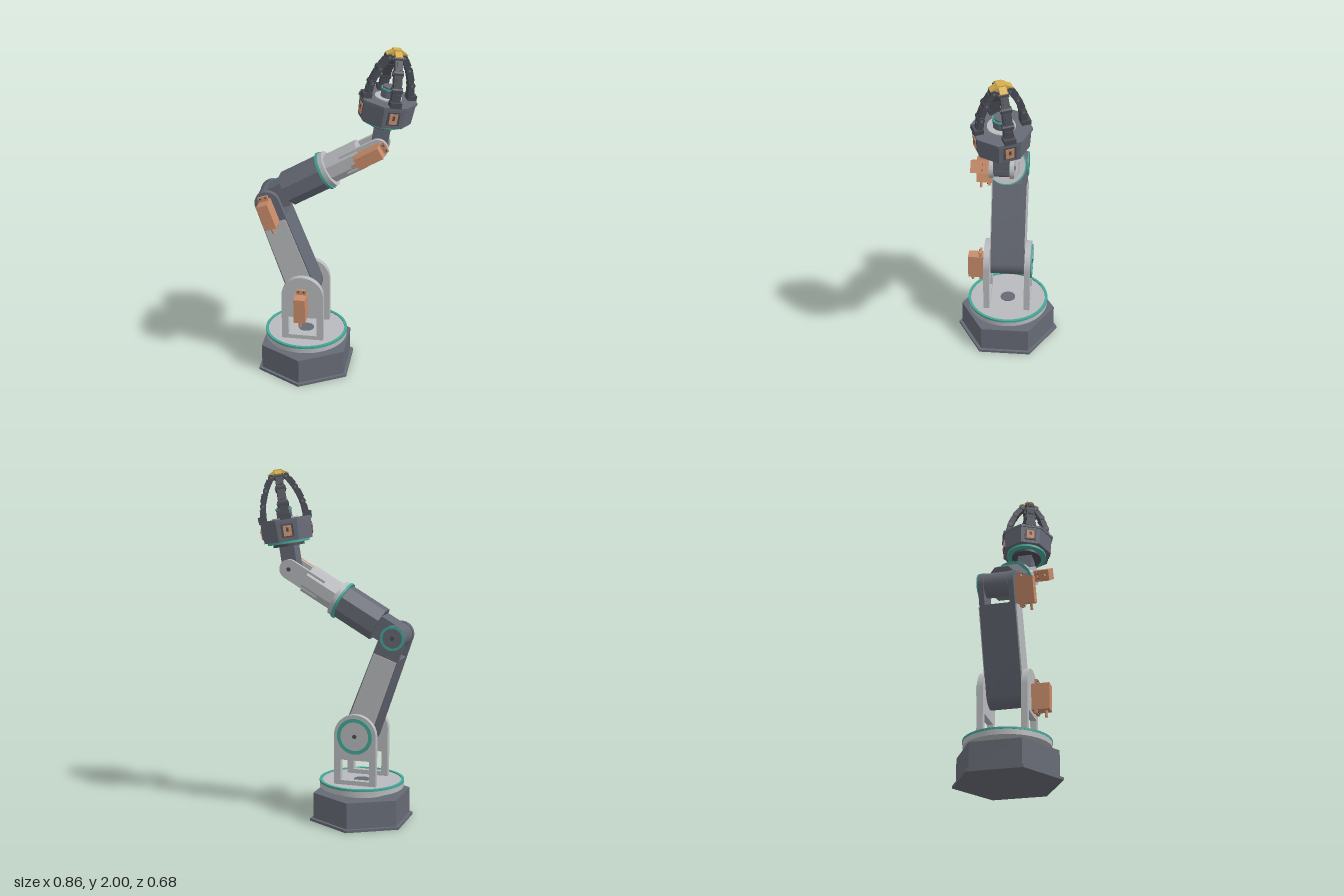
import * as THREE from 'three';
import { toCreasedNormals } from 'three/addons/utils/BufferGeometryUtils.js';

const mat = (name, color) => {
  const m = new THREE.MeshStandardMaterial({ color });
  m.name = name;
  return m;
};

export function createModel() {
  const slate = mat('slate', 0x666a75);
  const charcoal = mat('charcoal', 0x494c54);
  const light = mat('light grey', 0xb8babd);
  const teal = mat('teal', 0x45a898);
  const copper = mat('copper', 0xc98c6a);
  const gold = mat('gold', 0xd3ab4e);

  // ---- helpers ----
  const group = (parent, name, x = 0, y = 0, z = 0) => {
    const g = new THREE.Group();
    g.name = name;
    g.position.set(x, y, z);
    parent.add(g);
    return g;
  };
  const add = (parent, name, geo, m, x = 0, y = 0, z = 0) => {
    const mesh = new THREE.Mesh(toCreasedNormals(geo, 0.6), m);
    mesh.name = name;
    mesh.position.set(x, y, z);
    parent.add(mesh);
    return mesh;
  };
  const box = (p, name, m, w, h, d, x, y, z) => add(p, name, new THREE.BoxGeometry(w, h, d), m, x, y, z);
  // Cylinder standing on y0, up to y1
  const post = (p, name, m, r, y0, y1, sides = 40, turn = 0, rTop = r) =>
    add(p, name, new THREE.CylinderGeometry(rTop, r, y1 - y0, sides).rotateY(turn), m, 0, (y0 + y1) / 2, 0);
  // Cylinder along x from x0 to x1
  const rod = (p, name, m, r, x0, x1, sides = 40, turn = 0) =>
    add(p, name, new THREE.CylinderGeometry(r, r, x1 - x0, sides).rotateY(turn).rotateZ(-Math.PI / 2), m, (x0 + x1) / 2, 0, 0);
  // Cylinder along z from z0 to z1
  const pin = (p, name, m, r, z0, z1, x = 0, y = 0) =>
    add(p, name, new THREE.CylinderGeometry(r, r, z1 - z0, 32).rotateX(Math.PI / 2), m, x, y, (z0 + z1) / 2);
  const slab = (p, name, m, shape, z0, z1) =>
    add(p, name, new THREE.ExtrudeGeometry(shape, { depth: z1 - z0, bevelEnabled: false, curveSegments: 20 }), m, 0, 0, z0);
  // Flat ring with thickness, facing +z
  const ringShape = (ro, ri) => {
    const s = new THREE.Shape().absarc(0, 0, ro, 0, Math.PI * 2);
    s.holes.push(new THREE.Path().absarc(0, 0, ri, 0, Math.PI * 2, true));
    return s;
  };
  // Servo with its shaft at the origin, body hanging down, sticking out along +z
  const servo = (p, name, x, y, z, turn = 0) => {
    const g = group(p, name, x, y, z);
    g.rotation.z = turn;
    box(g, 'servoBody', copper, 0.067, 0.15, 0.1, 0, -0.045, 0.05);
    box(g, 'servoFlange', copper, 0.058, 0.196, 0.016, 0, -0.04, 0.025);
    for (const yy of [-0.129, 0.049])
      for (const xx of [-0.016, 0.016]) pin(g, 'flangeScrew', charcoal, 0.005, 0.033, 0.037, xx, yy);
    add(g, 'cableStub', new THREE.CylinderGeometry(0.008, 0.008, 0.04, 12), copper, 0, -0.137, 0.075);
  };

  const model = new THREE.Group();
  model.name = 'robotArm';

  // ---- base ----
  const base = group(model, 'base', -0.125, 0, 0.04);
  post(base, 'baseFlange', slate, 0.305, 0, 0.015, 6, Math.PI / 6);
  post(base, 'baseBody', slate, 0.285, 0.015, 0.165, 6, Math.PI / 6);
  post(base, 'neck', light, 0.165, 0.165, 0.195);
  post(base, 'turntable', light, 0.242, 0.195, 0.23, 64);
  add(base, 'turntableRing', new THREE.ExtrudeGeometry(ringShape(0.244, 0.228), { depth: 0.012, bevelEnabled: false, curveSegments: 32 })
    .rotateX(-Math.PI / 2), teal, 0, 0.224, 0);

  // ---- swivelling shoulder ----
  const shoulder = group(base, 'shoulder');
  shoulder.rotation.y = Math.PI / 6;
  post(shoulder, 'cableHole', slate, 0.045, 0.23, 0.233);
  const pivotY = 0.515;
  const bracket = new THREE.Shape().moveTo(-0.123, 0.23).lineTo(0.123, 0.23).lineTo(0.123, pivotY)
    .absarc(0, pivotY, 0.123, 0, Math.PI).lineTo(-0.123, 0.23);
  bracket.holes.push(new THREE.Path().moveTo(-0.085, 0.255).lineTo(-0.085, 0.375).lineTo(0.085, 0.375).lineTo(0.085, 0.255));
  for (const s of [-1, 1]) slab(shoulder, 'shoulderBracket', light, bracket, s * 0.1225 - 0.0175, s * 0.1225 + 0.0175);
  servo(shoulder, 'shoulderServo', 0, pivotY, 0.14);

  // ---- lower arm, y runs along it ----
  const lower = group(shoulder, 'lowerArm', 0, pivotY, 0);
  lower.rotation.z = THREE.MathUtils.degToRad(20);
  const L1 = 0.6;
  const link = new THREE.Shape().moveTo(0.072, L1).absarc(0, L1, 0.072, 0, Math.PI)
    .lineTo(-0.085, 0).absarc(0, 0, 0.085, Math.PI, Math.PI * 2).lineTo(0.072, L1);
  const core = new THREE.Shape().moveTo(0.074, 0.49).lineTo(-0.074, 0.49)
    .lineTo(-0.085, 0).absarc(0, 0, 0.085, Math.PI, Math.PI * 2).lineTo(0.074, 0.49);
  const cover = new THREE.Shape().moveTo(0.07, 0.48).lineTo(-0.07, 0.48).lineTo(-0.075, 0.09).lineTo(0.075, 0.09);
  slab(lower, 'linkCore', slate, core, -0.07, 0.07);
  for (const s of [-1, 1]) {
    slab(lower, 'linkSide', slate, link, s * 0.085 - 0.015, s * 0.085 + 0.015);
    slab(lower, 'linkCover', light, cover, s * 0.102 - 0.004, s * 0.102 + 0.004);
  }
  servo(lower, 'elbowServo', 0, L1, 0.1);
  // Bearing caps on the back of both joints
  const cap = (p, z, r, y, m) => {
    const g = group(p, 'bearingCap', 0, y, z);
    slab(g, 'capRing', teal, ringShape(r, r * 0.8), -0.008, 0.002);
    pin(g, 'capDisc', m, r * 0.8, -0.005, 0.002);
    pin(g, 'capBolt', charcoal, 0.012, -0.009, 0);
  };
  cap(shoulder, -0.14, 0.103, pivotY, light);
  cap(lower, -0.1, 0.07, L1, slate);

  // ---- upper arm, x runs along it ----
  const a1 = THREE.MathUtils.degToRad(20);
  const upper = group(shoulder, 'upperArm', -L1 * Math.sin(a1), pivotY + L1 * Math.cos(a1), 0);
  upper.rotation.z = Math.PI / 6;
  const L2 = 0.72;
  pin(upper, 'elbowKnuckle', slate, 0.069, -0.068, 0.068);
  box(upper, 'elbowNeck', slate, 0.14, 0.13, 0.134, 0.07, 0, 0);
  rod(upper, 'upperTube', slate, 0.102, 0.12, 0.365, 8, Math.PI / 8);
  rod(upper, 'rollRing', teal, 0.112, 0.365, 0.379, 48);
  rod(upper, 'rollCollar', light, 0.105, 0.379, 0.405, 48);
  rod(upper, 'forearm', light, 0.084, 0.405, 0.61, 8, Math.PI / 8);
  const fork = new THREE.Shape().moveTo(0.5, -0.056).lineTo(L2, -0.056)
    .absarc(L2, 0, 0.056, -Math.PI / 2, Math.PI / 2).lineTo(0.5, 0.056);
  for (const s of [-1, 1]) slab(upper, 'wristFork', light, fork, s * 0.055 - 0.012, s * 0.055 + 0.012);
  pin(upper, 'wristBolt', charcoal, 0.012, -0.07, -0.06, L2, 0);
  servo(upper, 'wristServo', L2, 0, 0.067, -Math.PI / 2);

  // ---- wrist and gripper, y runs along it ----
  const wrist = group(upper, 'wrist', L2, 0, 0);
  wrist.rotation.z = THREE.MathUtils.degToRad(-9 - 30);
  pin(wrist, 'wristKnuckle', slate, 0.048, -0.043, 0.043);
  box(wrist, 'wristPost', slate, 0.09, 0.14, 0.086, 0, 0.07, 0);
  post(wrist, 'wristDisc', charcoal, 0.09, 0.13, 0.146);
  post(wrist, 'gripperRing', teal, 0.12, 0.146, 0.16, 48);
  post(wrist, 'palm', slate, 0.148, 0.16, 0.27, 8, 0, 0.156);
  post(wrist, 'palmRim', slate, 0.163, 0.27, 0.285, 8);
  post(wrist, 'palmPlate', light, 0.075, 0.285, 0.292);
  post(wrist, 'palmHub', slate, 0.044, 0.292, 0.335);
  post(wrist, 'hubRing', teal, 0.048, 0.335, 0.343);
  post(wrist, 'hubCap', slate, 0.04, 0.343, 0.352);

  // Four curved fingers, each drawn in the plane x = outward, y = up
  const path = [[0.12, 0.28], [0.113, 0.37], [0.083, 0.455], [0.042, 0.522]];
  for (let i = 0; i < 4; i++) {
    const finger = group(wrist, 'finger');
    finger.rotation.y = Math.PI / 8 + i * Math.PI / 2;
    box(finger, 'servoFrame', charcoal, 0.006, 0.075, 0.07, 0.141, 0.218, 0);
    box(finger, 'fingerServo', copper, 0.008, 0.06, 0.046, 0.144, 0.218, 0);
    box(finger, 'servoHorn', charcoal, 0.004, 0.024, 0.014, 0.148, 0.224, 0);
    box(finger, 'fingerBase', charcoal, 0.05, 0.03, 0.062, 0.128, 0.297, 0);
    for (let k = 0; k < 3; k++) {
      const [x0, y0] = path[k], [x1, y1] = path[k + 1];
      const len = Math.hypot(x1 - x0, y1 - y0);
      const seg = group(finger, 'fingerSegment', (x0 + x1) / 2, (y0 + y1) / 2, 0);
      seg.rotation.z = Math.atan2(x0 - x1, y1 - y0);
      const width = 0.05 - k * 0.004;
      box(seg, 'phalanx', charcoal, 0.03, len, width, 0, 0, 0);
      box(seg, 'phalanxPlate', charcoal, 0.008, len * 0.55, width * 0.6, 0.017, 0, 0);
      pin(finger, 'fingerJoint', charcoal, 0.018, -0.03 + k * 0.002, 0.03 - k * 0.002, x1, y1);
      pin(finger, 'jointPin', slate, 0.007, -0.033 + k * 0.002, 0.033 - k * 0.002, x1, y1);
    }
    const tip = box(finger, 'fingerTip', gold, 0.05, 0.028, 0.04, 0.032, 0.539, 0);
    tip.rotation.z = -0.5;
    box(finger, 'tipPad', gold, 0.024, 0.032, 0.038, 0.012, 0.549, 0);
  }
  return model;
}
